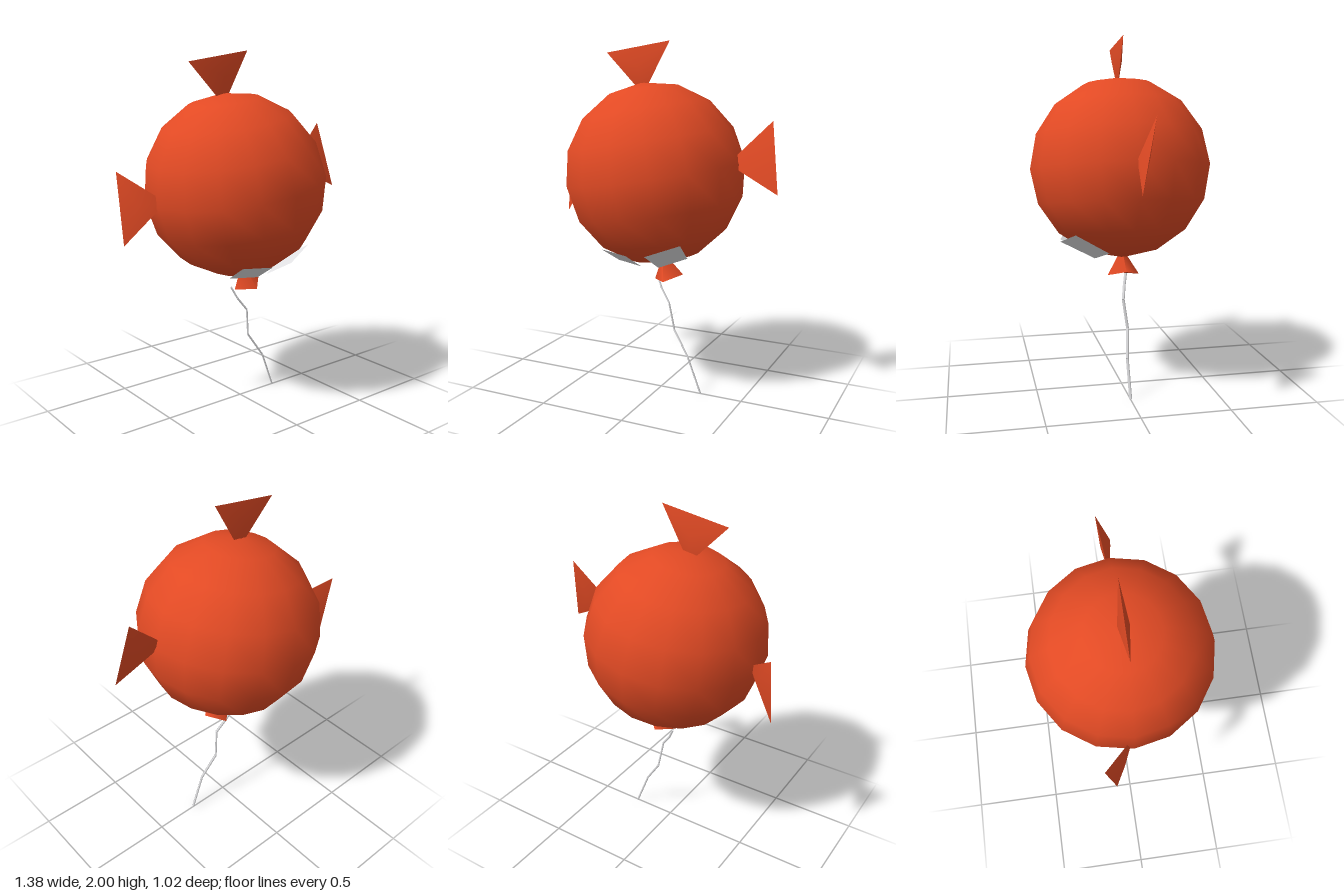
import * as THREE from 'three';

const red = new THREE.MeshStandardMaterial({ color: 0xe24a24 });
red.name = 'red';
const white = new THREE.MeshStandardMaterial({ color: 0xe4e4e6, side: THREE.DoubleSide });
white.name = 'paleGrey';

const V = (p) => new THREE.Vector3(...p);

function indexedGeometry(points, index) {
  const g = new THREE.BufferGeometry().setFromPoints(points);
  g.setIndex(index);
  g.computeVertexNormals();
  return g;
}

// Thin fin: a triangle with a softly raised ridge point on both sides, sharp at the rim.
// The middle corner is the inner one, buried in the body.
function finGeometry(corners, thickness) {
  const [a, b, c] = corners.map(V);
  const n = b.clone().sub(a).cross(c.clone().sub(a)).normalize();
  const mid = a.clone().add(c).multiplyScalar(0.3).addScaledVector(b, 0.4);
  const front = mid.clone().addScaledVector(n, thickness);
  const back = mid.clone().addScaledVector(n, -thickness);
  return indexedGeometry(
    [a, b, c, front, a, b, c, back],
    [0, 1, 3, 1, 2, 3, 2, 0, 3, 5, 4, 7, 6, 5, 7, 4, 6, 7]
  );
}

// Flat four-cornered plate
const plateGeometry = (corners) => indexedGeometry(corners.map(V), [0, 1, 2, 0, 2, 3]);

// Four-sided cone whose front and back rim corners droop
function knotGeometry() {
  const g = new THREE.ConeGeometry(0.091, 0.14, 4);
  const p = g.attributes.position;
  for (let i = 0; i < p.count; i++) {
    if (Math.abs(p.getZ(i)) > 0.05) p.setY(i, p.getY(i) - 0.012);
  }
  return g;
}

export function createModel() {
  const model = new THREE.Group();
  const add = (name, geometry, material, parent = model) => {
    const mesh = new THREE.Mesh(geometry, material);
    mesh.name = name;
    parent.add(mesh);
    return mesh;
  };

  // Round body, leaning slightly
  const body = add('body', new THREE.SphereGeometry(0.511, 16, 8), red);
  body.position.set(-0.04, 1.27, 0);
  body.rotation.z = 0.157;

  // Fins
  add('topFin', finGeometry([[-0.34, 1.94, 0], [-0.112, 1.71, 0], [0.05, 2.0, 0]], 0.03), red);
  add('leftFin', finGeometry([[0.63, 1.58, -0.042], [0.397, 1.347, 0], [0.69, 1.2, 0.042]], 0.028), red);
  add('rightFin', finGeometry([[-0.69, 1.38, -0.17], [-0.494, 1.22, 0], [-0.69, 0.99, -0.11]], 0.03), red);

  // Pale plates under the front
  add('leftPlate', plateGeometry([[0.25, 0.94, 0.3], [0.07, 0.875, 0.36], [0.06, 0.77, 0.165], [0.21, 0.825, 0.11]]), white);
  add('rightPlate', plateGeometry([[-0.05, 0.865, 0.345], [-0.22, 0.875, 0.3], [-0.195, 0.785, 0.15], [-0.03, 0.775, 0.195]]), white);

  // Four-sided knot
  const knot = add('knot', knotGeometry(), red);
  knot.position.set(0.032, 0.747, 0);
  knot.rotation.z = 0.24;

  // Kinked string made of thin straight pieces
  const path = [[-0.04, 0.665, -0.035], [-0.005, 0.595, -0.018], [0.05, 0.52, 0], [0.075, 0.355, -0.02],
    [0.17, 0.21, 0.002], [0.25, 0, 0]].map(V);
  const string = new THREE.Group();
  string.name = 'string';
  model.add(string);
  for (let i = 0; i < path.length - 1; i++) {
    const dir = path[i + 1].clone().sub(path[i]);
    const piece = add('stringPiece', new THREE.CylinderGeometry(0.0085, 0.0085, dir.length(), 4), white, string);
    piece.scale.x = 0.7;
    piece.position.copy(path[i]).addScaledVector(dir, 0.5);
    piece.quaternion.setFromUnitVectors(new THREE.Vector3(0, -1, 0), dir.normalize());
  }
  return model;
}
